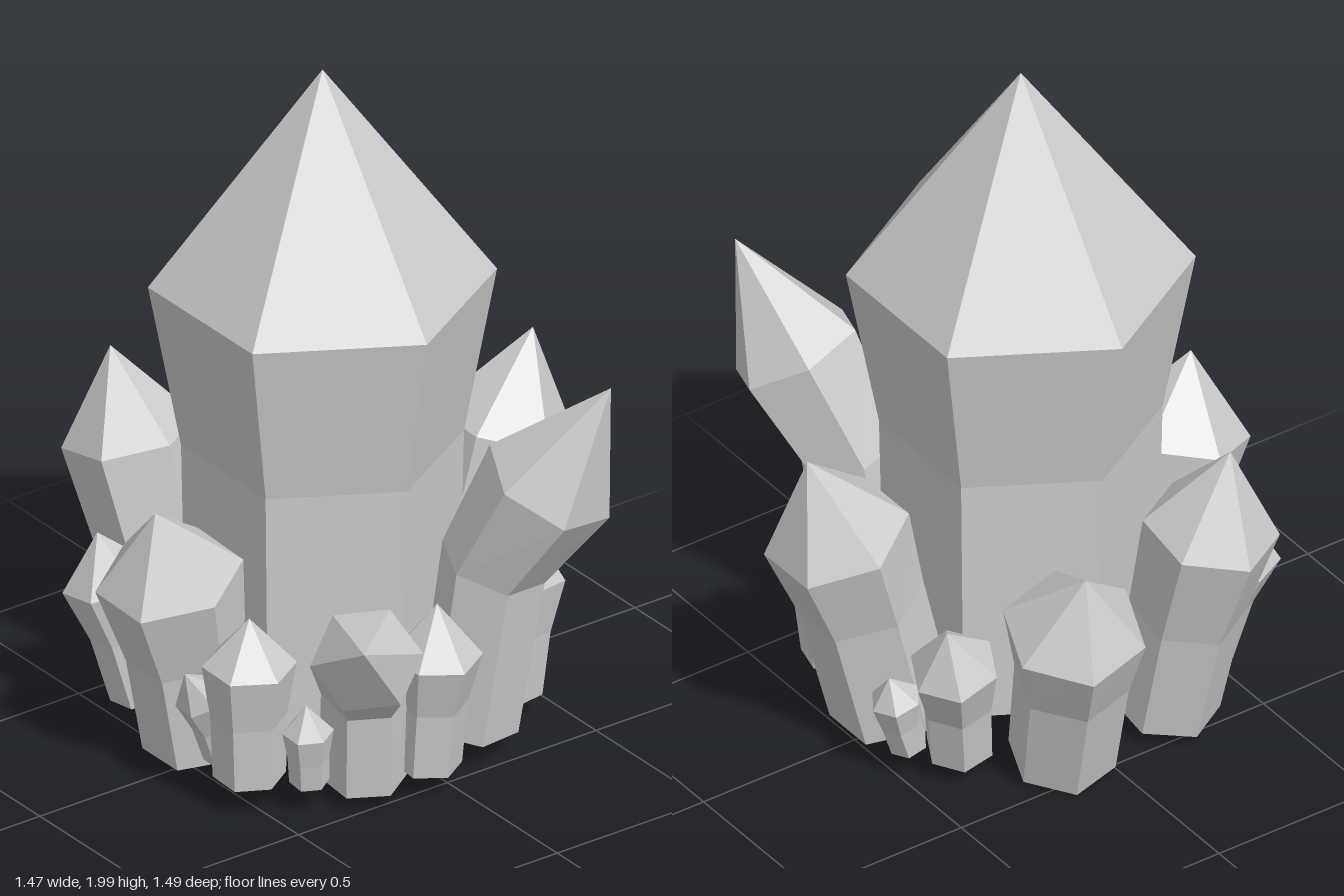
import * as THREE from 'three';

const SIDES = 6;
const UP = new THREE.Vector3(0, 1, 0);

// One crystal: hexagonal rings at base, waist and shoulder, closed by an apex.
// rings: [x, y, z, radius] from the bottom up; phase: ring rotation in degrees.
function crystal(name, material, rings, apex, phase = 30) {
  const centres = rings.map(r => new THREE.Vector3(r[0], r[1], r[2]));
  const tip = new THREE.Vector3(...apex);
  const spine = [...centres, tip];
  const pos = [], index = [];
  rings.forEach((ring, i) => {
    // each ring is square to the local direction of the bent spine
    const dir = spine[i + 1].clone().sub(spine[i]).normalize();
    if (i > 0) dir.add(spine[i].clone().sub(spine[i - 1]).normalize()).normalize();
    const q = new THREE.Quaternion().setFromUnitVectors(UP, dir);
    for (let k = 0; k < SIDES; k++) {
      const a = THREE.MathUtils.degToRad(phase) + k * Math.PI * 2 / SIDES;
      const p = new THREE.Vector3(Math.cos(a), 0, Math.sin(a))
        .multiplyScalar(ring[3]).applyQuaternion(q).add(centres[i]);
      pos.push(p.x, p.y, p.z);
    }
  });
  const tipIndex = rings.length * SIDES, baseIndex = tipIndex + 1;
  pos.push(...tip.toArray(), ...centres[0].toArray());
  for (let k = 0; k < SIDES; k++) {
    const n = (k + 1) % SIDES;
    for (let i = 0; i < rings.length - 1; i++) {
      const a = i * SIDES + k, b = i * SIDES + n;
      index.push(a, a + SIDES, b, b, a + SIDES, b + SIDES);
    }
    const top = (rings.length - 1) * SIDES;
    index.push(top + k, tipIndex, top + n);
    index.push(k, n, baseIndex);
  }
  const indexed = new THREE.BufferGeometry();
  indexed.setAttribute('position', new THREE.Float32BufferAttribute(pos, 3));
  indexed.setIndex(index);
  const geometry = indexed.toNonIndexed();
  geometry.computeVertexNormals();
  const mesh = new THREE.Mesh(geometry, material);
  mesh.name = name;
  return mesh;
}

export function createModel() {
  const group = new THREE.Group();
  group.name = 'crystalCluster';
  const material = new THREE.MeshStandardMaterial({ color: 0xcccccc, flatShading: true });
  const add = (...args) => group.add(crystal(args[0], material, ...args.slice(1)));

  // central column
  add('mainCrystal',
    [[-0.05, 0.1, 0, 0.37], [-0.05, 0.87, 0, 0.385], [-0.05, 1.36, 0, 0.475]], [-0.05, 2, 0]);

  // large crystals around it
  add('backRightLargeCrystal',
    [[-0.24, 0.07, -0.41, 0.15], [-0.26, 0.42, -0.48, 0.16], [-0.285, 0.72, -0.56, 0.19]],
    [-0.32, 0.98, -0.6]);
  add('backLeftLargeCrystal',
    [[0.11, 0.05, -0.42, 0.15], [0.135, 0.36, -0.5, 0.16], [0.165, 0.565, -0.555, 0.2]],
    [0.18, 0.775, -0.63], -11);
  add('leftLargeCrystal',
    [[0.38, 0.09, 0, 0.17], [0.48, 0.48, 0, 0.175], [0.56, 0.72, 0, 0.205]],
    [0.65, 0.99, 0.01]);
  add('rightLargeCrystal',
    [[-0.46, 0.08, 0, 0.16], [-0.51, 0.37, 0, 0.165], [-0.565, 0.61, 0, 0.205]],
    [-0.627, 0.83, 0.02]);
  add('frontLeftTallCrystal',
    [[0.16, 0.1, 0.38, 0.14], [0.2, 0.6, 0.44, 0.15], [0.285, 0.88, 0.58, 0.19]],
    [0.38, 1.2, 0.73], 50);
  add('frontRightLeaningCrystal',
    [[-0.22, 0.07, 0.42, 0.12], [-0.24, 0.35, 0.45, 0.12], [-0.3, 0.5, 0.54, 0.155]],
    [-0.46, 0.655, 0.745]);

  // small crystals filling the gaps
  add('frontSmallCrystal',
    [[-0.06, 0.09, 0.49, 0.095], [-0.06, 0.29, 0.51, 0.1], [-0.06, 0.44, 0.535, 0.125]],
    [-0.06, 0.595, 0.535]);
  add('frontLeftSmallCrystal',
    [[0.36, 0.09, 0.28, 0.1], [0.38, 0.28, 0.29, 0.1], [0.4, 0.44, 0.29, 0.125]],
    [0.42, 0.585, 0.31], 45);
  add('frontRightSmallCrystal',
    [[-0.51, 0.11, 0.29, 0.1], [-0.52, 0.3, 0.3, 0.105], [-0.525, 0.46, 0.31, 0.13]],
    [-0.525, 0.6, 0.31]);
  add('backRightSmallCrystal',
    [[-0.43, 0.09, -0.29, 0.1], [-0.47, 0.28, -0.32, 0.105], [-0.505, 0.43, -0.35, 0.135]],
    [-0.53, 0.57, -0.375]);
  add('backLeftSmallCrystal',
    [[0.35, 0.09, -0.28, 0.095], [0.38, 0.27, -0.31, 0.1], [0.415, 0.42, -0.345, 0.125]],
    [0.46, 0.565, -0.375], -3);

  // tiny crystals
  add('frontRightTinyCrystal',
    [[-0.39, 0.1, 0.4, 0.055], [-0.4, 0.18, 0.41, 0.057], [-0.405, 0.26, 0.415, 0.07]],
    [-0.415, 0.345, 0.42]);
  add('rightTinyCrystal',
    [[-0.51, 0.12, 0.17, 0.055], [-0.55, 0.23, 0.175, 0.057], [-0.6, 0.33, 0.185, 0.07]],
    [-0.665, 0.43, 0.205]);
  add('backLeftTinyCrystal',
    [[0.47, 0.11, -0.21, 0.055], [0.5, 0.2, -0.215, 0.057], [0.52, 0.285, -0.22, 0.072]],
    [0.545, 0.365, -0.225], 5);

  return group;
}
